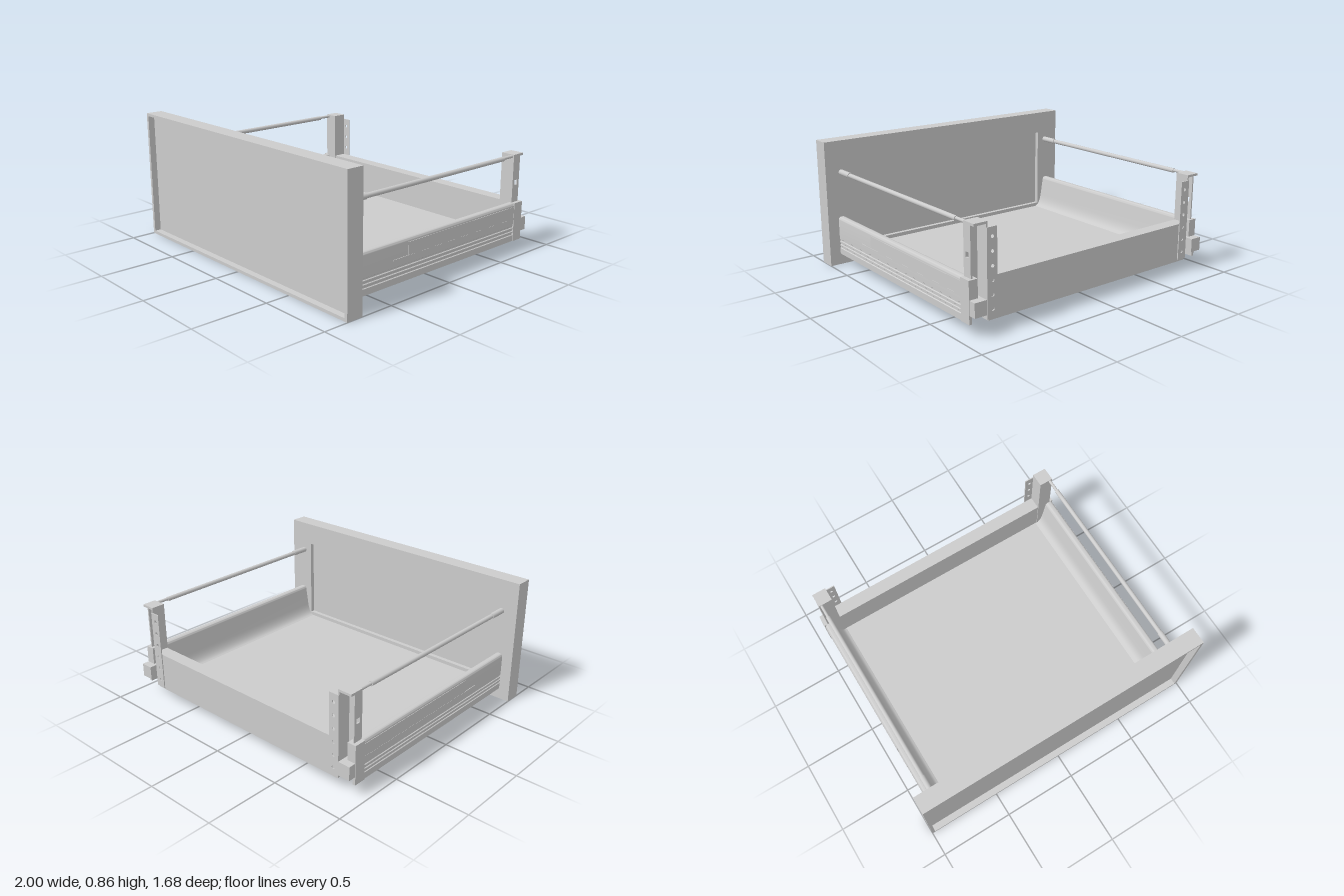
import * as THREE from 'three';
import { toCreasedNormals } from 'three/addons/utils/BufferGeometryUtils.js';

const material = new THREE.MeshStandardMaterial({ color: 0xcccccc, side: THREE.DoubleSide });

function add(parent, name, geometry) {
  const mesh = new THREE.Mesh(geometry, material);
  mesh.name = name;
  parent.add(mesh);
  return mesh;
}

// Box given by its limits on each axis
function box(parent, name, x0, x1, y0, y1, z0, z1) {
  const g = new THREE.BoxGeometry(Math.abs(x1 - x0), y1 - y0, z1 - z0);
  g.translate((x0 + x1) / 2, (y0 + y1) / 2, (z0 + z1) / 2);
  return add(parent, name, g);
}

function rectPoints(x0, x1, y0, y1) {
  return [[x0, y0], [x1, y0], [x1, y1], [x0, y1]].map(p => new THREE.Vector2(...p));
}

function extrude(shape, z0, z1) {
  const g = new THREE.ExtrudeGeometry(shape, { depth: z1 - z0, bevelEnabled: false, curveSegments: 8 });
  g.translate(0, 0, z0);
  return toCreasedNormals(g, 0.6);
}

// Rectangular frame around an opening
function frame(parent, name, outer, inner, z0, z1) {
  const shape = new THREE.Shape(rectPoints(...outer));
  shape.holes.push(new THREE.Path(rectPoints(...inner)));
  return add(parent, name, extrude(shape, z0, z1));
}

// Cylinder along z
function rod(parent, name, x, y, r, z0, z1) {
  const g = new THREE.CylinderGeometry(r, r, z1 - z0, 20);
  g.rotateX(Math.PI / 2);
  g.translate(x, y, (z0 + z1) / 2);
  return add(parent, name, g);
}

function createSide(s) {
  const side = new THREE.Group();
  side.name = s > 0 ? 'leftSide' : 'rightSide';
  const bx = (name, x0, x1, ...rest) => box(side, name, s * x0, s * x1, ...rest);

  // Side wall: rounded top, coved inside, open channel below, ribbed outside
  const wall = new THREE.Shape();
  wall.moveTo(s * 0.80, 0.085);
  wall.lineTo(s * 0.865, 0.085);
  wall.lineTo(s * 0.865, 0.2);
  wall.lineTo(s * 0.912, 0.2);
  wall.lineTo(s * 0.912, 0.075);
  wall.lineTo(s * 0.925, 0.075);
  for (const y of [0.115, 0.14, 0.165]) {
    wall.lineTo(s * 0.925, y);
    wall.lineTo(s * 0.92, y + 0.004);
    wall.lineTo(s * 0.92, y + 0.012);
    wall.lineTo(s * 0.925, y + 0.016);
  }
  wall.lineTo(s * 0.925, 0.31);
  wall.quadraticCurveTo(s * 0.925, 0.335, s * 0.905, 0.335);
  wall.lineTo(s * 0.893, 0.335);
  wall.quadraticCurveTo(s * 0.875, 0.335, s * 0.873, 0.31);
  wall.lineTo(s * 0.853, 0.19);
  wall.quadraticCurveTo(s * 0.84, 0.115, s * 0.80, 0.105);
  add(side, 'sideWall', extrude(wall, -0.71, 0.725));

  // Raised strips on the outside
  bx('upperStrip', 0.922, 0.928, 0.228, 0.31, -0.71, 0.29);
  bx('slotLip', 0.922, 0.929, 0.222, 0.229, -0.71, 0.41);

  // Rear end of the side and the runner hook
  bx('endCap', 0.87, 0.93, 0.22, 0.335, -0.79, -0.71);
  bx('endCapLower', 0.912, 0.93, 0.075, 0.22, -0.79, -0.71);
  bx('runnerHook', 0.845, 0.928, 0.13, 0.22, -0.84, -0.76);
  bx('runnerClip', 0.74, 0.79, 0.055, 0.09, 0.07, 0.16);

  // Rear post: channel open at the back with a drilled flange
  bx('postFront', 0.81, 0.905, 0.1, 0.65, -0.72, -0.71);
  bx('postInner', 0.81, 0.82, 0.1, 0.65, -0.805, -0.72);
  bx('postTop', 0.81, 0.905, 0.64, 0.655, -0.805, -0.71);
  const outer = new THREE.Shape(rectPoints(0.71, 0.775, 0.335, 0.65));
  outer.holes.push(new THREE.Path(rectPoints(0.73, 0.757, 0.45, 0.483)));
  const outerGeo = extrude(outer, 0, 0.01);
  outerGeo.rotateY(Math.PI / 2);
  outerGeo.translate(s > 0 ? 0.895 : -0.905, 0, 0);
  add(side, 'postOuter', outerGeo);

  const flange = new THREE.Shape(rectPoints(s * 0.75, s * 0.82, 0.085, 0.62));
  for (let i = 0; i < 6; i++) {
    const hole = new THREE.Path();
    hole.absarc(s * 0.782, 0.14 + i * 0.085, 0.011, 0, Math.PI * 2, true);
    flange.holes.push(hole);
  }
  add(side, 'postFlange', extrude(flange, -0.81, -0.803));

  // Gallery rail with end sleeves
  rod(side, 'rail', s * 0.887, 0.64, 0.015, -0.62, 0.6);
  rod(side, 'frontSleeve', s * 0.887, 0.64, 0.019, 0.6, 0.73);
  rod(side, 'rearPin', s * 0.887, 0.642, 0.01, -0.72, -0.62);
  return side;
}

export function createModel() {
  const model = new THREE.Group();
  model.name = 'drawer';

  // Front panel: pane set between a thin front frame and a wide back frame
  const front = new THREE.Group();
  front.name = 'frontPanel';
  const edge = [-1, 1, 0, 0.855];
  frame(front, 'frontFrame', edge, [-0.98, 0.98, 0.02, 0.837], 0.795, 0.838);
  box(front, 'pane', -1, 1, 0, 0.855, 0.755, 0.795);
  frame(front, 'backFrame', edge, [-0.82, 0.82, 0.13, 0.7], 0.725, 0.755);
  model.add(front);

  // Floor and back wall
  box(model, 'floor', -0.81, 0.81, 0.08, 0.105, -0.72, 0.725);
  box(model, 'backWall', -0.81, 0.81, 0.075, 0.335, -0.803, -0.715);

  model.add(createSide(1), createSide(-1));
  return model;
}
